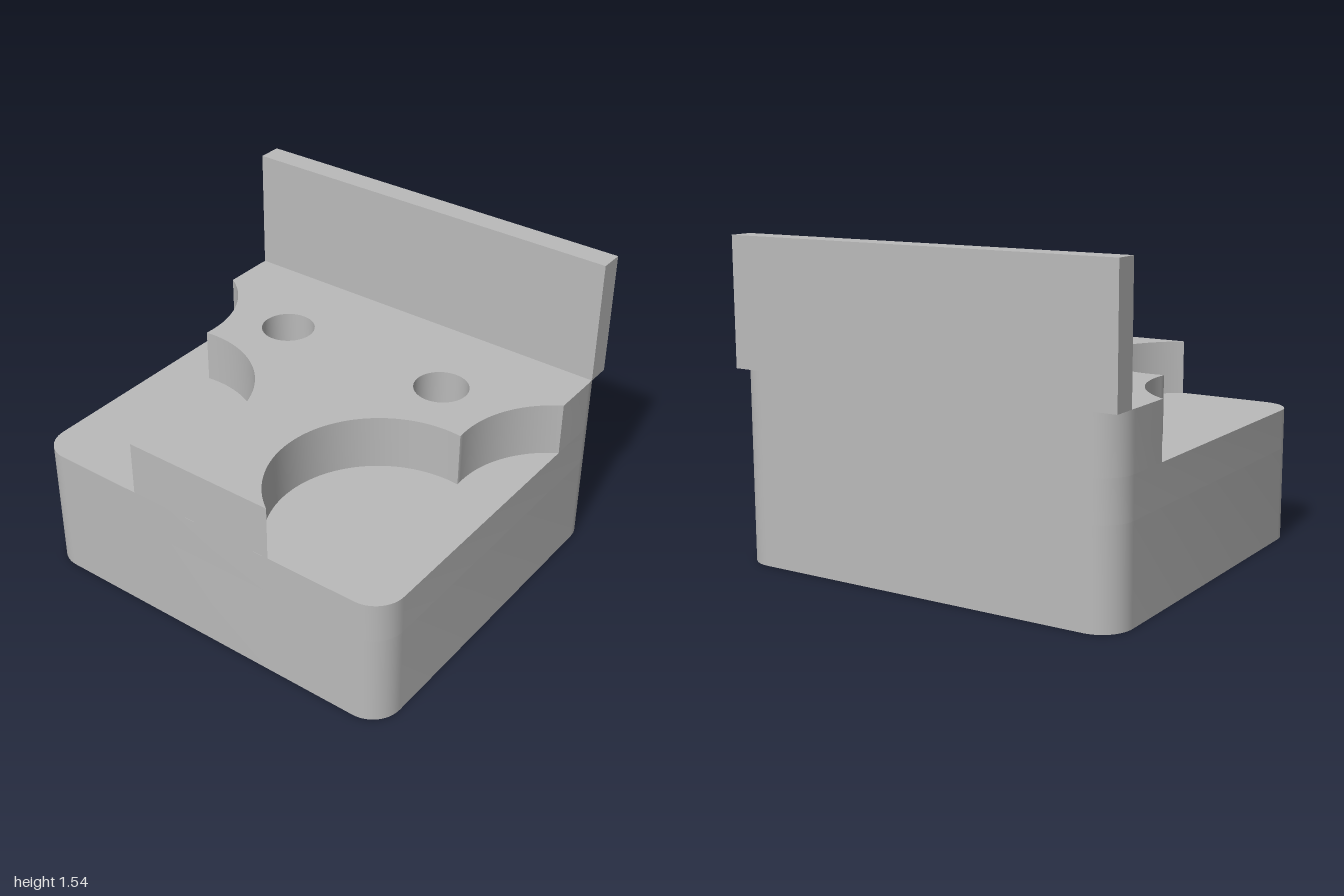
import * as THREE from 'three';
import { toCreasedNormals } from 'three/addons/utils/BufferGeometryUtils.js';

const W = 1, D = 0.915, R = 0.15;           // half width, half depth, corner radius
const FLOOR = 0.655, DECK = 0.925, BORE = 0.46;
const SCREWS = [[0.46, -0.315], [-0.46, -0.315]];

// Points on a circular arc in plan; the shape's second axis is -z.
function arc(cx, cy, r, from, to, clockwise, n = 32) {
  return new THREE.EllipseCurve(cx, cy, r, r, from, to, clockwise).getPoints(n);
}

// Mirror a right-hand half outline (running front to back) into a closed shape.
function mirrored(half) {
  const left = half.map(p => new THREE.Vector2(-p.x, p.y)).reverse();
  return new THREE.Shape([...half, ...left]);
}

function addHoles(shape, list, r) {
  for (const [x, z] of list) {
    const hole = new THREE.Path();
    hole.absarc(x, -z, r, 0, Math.PI * 2, true);
    shape.holes.push(hole);
  }
  return shape;
}

// Extrude a plan shape upwards between two heights.
function layer(name, shape, y0, y1, material) {
  const geo = new THREE.ExtrudeGeometry(shape, { depth: y1 - y0, bevelEnabled: false, curveSegments: 32 });
  geo.rotateX(-Math.PI / 2).translate(0, y0, 0);
  const mesh = new THREE.Mesh(toCreasedNormals(geo, 0.5), material);
  mesh.name = name;
  return mesh;
}

export function createModel() {
  const group = new THREE.Group();
  group.name = 'mountingBlock';
  const grey = new THREE.MeshStandardMaterial({ color: 0xbababa });
  grey.name = 'grey';

  const backCorner = () => arc(W - R, D - R, R, 0, Math.PI / 2, false, 12);
  const block = () => mirrored([
    ...arc(W - R, R - D, R, -Math.PI / 2, 0, false, 12),
    ...backCorner(),
  ]);

  // Base: wide blind bores underneath, narrow screw holes above them
  group.add(layer('baseLower', addHoles(block(), [...SCREWS, [0, 0.39]], 0.24), 0, BORE, grey));
  group.add(layer('baseUpper', addHoles(block(), SCREWS, 0.133), BORE, FLOOR, grey));

  // Raised deck, scooped by two round pockets on each side
  const r = 0.52, big = [0.69, -0.49], side = [1.27, 0.08];
  const angle = (c, x, y) => Math.atan2(y - c[1], x - c[0]);
  const deck = mirrored([
    ...arc(...big, r, angle(big, 0.39, -D), angle(big, 0.752, 0.026), true, 48),
    ...arc(...side, r, angle(side, 0.753, 0.028) + Math.PI * 2, angle(side, W, 0.525), true, 24),
    ...backCorner(),
  ]);
  group.add(layer('deck', addHoles(deck, SCREWS, 0.133), FLOOR, DECK, grey));

  // Upright plate along the back edge
  const wall = new THREE.Mesh(new THREE.BoxGeometry(2 * W, 1.54 - DECK, 0.12), grey);
  wall.position.set(0, (1.54 + DECK) / 2, -D + 0.06);
  wall.name = 'backPlate';
  group.add(wall);

  return group;
}
